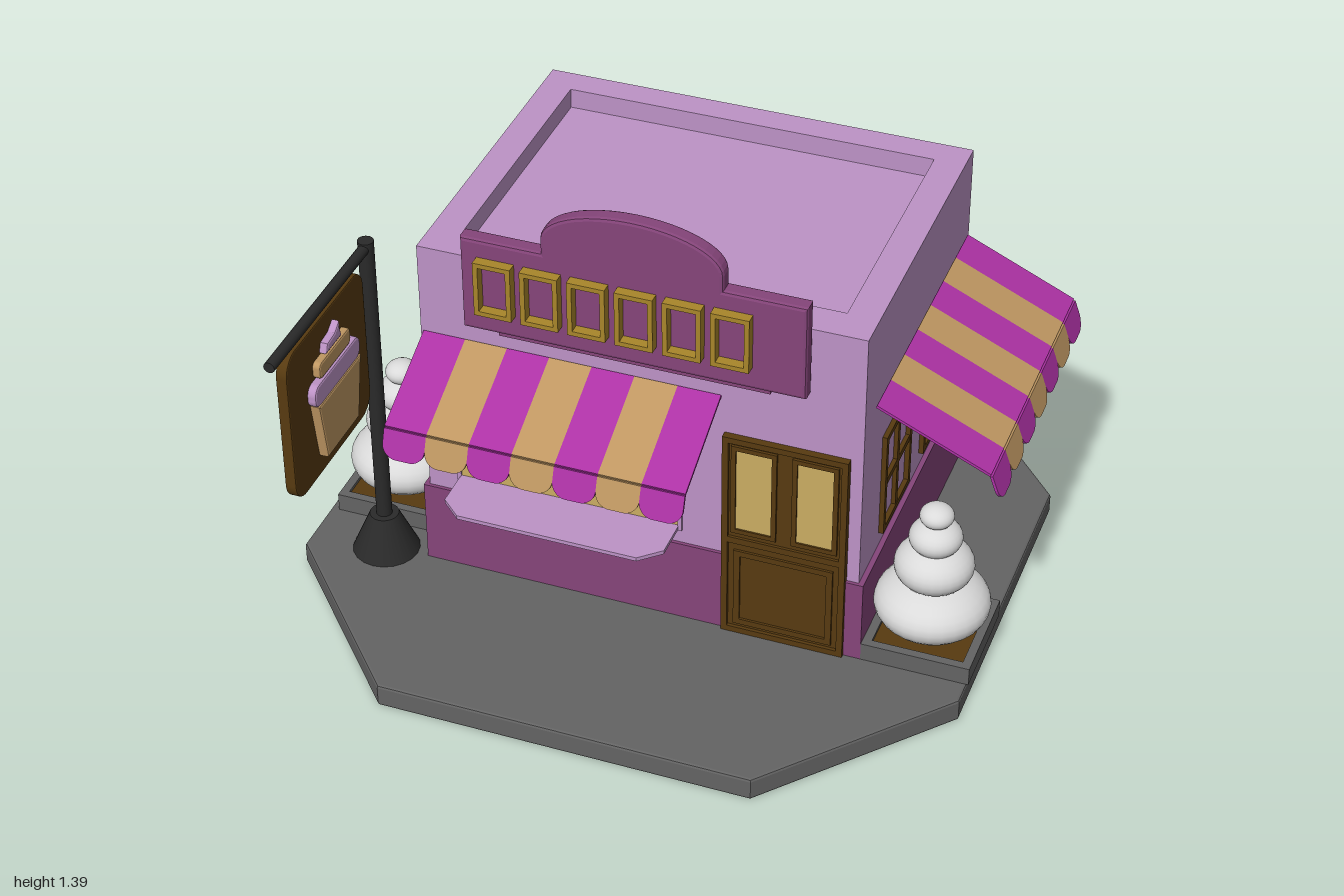
import * as THREE from 'three';

const mat = (name, color, side = THREE.FrontSide) =>
  Object.assign(new THREE.MeshStandardMaterial({ color, side }), { name });

export function createModel() {
  const lilac = mat('lilac', 0xbd93c6), plum = mat('plum', 0x85457a);
  const magenta = mat('magenta', 0xad32a5, THREE.DoubleSide), tan = mat('tan', 0xbf9762, THREE.DoubleSide);
  const brown = mat('brown', 0x573a10), glass = mat('warm glass', 0xcaac62), gold = mat('gold', 0xa8862a);
  const grey = mat('grey', 0x636363), black = mat('black', 0x2a2a2a), white = mat('white', 0xdadada);

  const model = new THREE.Group();
  model.name = 'shop';

  const add = (name, geo, material, parent = model) => {
    const mesh = new THREE.Mesh(geo, material);
    mesh.name = name;
    parent.add(mesh);
    return mesh;
  };
  // Box given by its lower and upper corners
  const box = (name, m, [x0, y0, z0], [x1, y1, z1], parent) =>
    add(name, new THREE.BoxGeometry(x1 - x0, y1 - y0, z1 - z0)
      .translate((x0 + x1) / 2, (y0 + y1) / 2, (z0 + z1) / 2), m, parent);
  const group = (name, x, y, z, turn = 0, parent = model) => {
    const g = new THREE.Group();
    g.name = name;
    g.position.set(x, y, z);
    g.rotation.y = turn;
    parent.add(g);
    return g;
  };
  const poly = pts => new THREE.Shape(pts.map(p => new THREE.Vector2(...p)));
  const rect = (x0, y0, x1, y1) => poly([[x0, y0], [x1, y0], [x1, y1], [x0, y1]]);
  const roundRect = (x0, y0, x1, y1, r) => {
    const s = new THREE.Shape();
    s.absarc(x1 - r, y0 + r, r, -Math.PI / 2, 0);
    s.absarc(x1 - r, y1 - r, r, 0, Math.PI / 2);
    s.absarc(x0 + r, y1 - r, r, Math.PI / 2, Math.PI);
    s.absarc(x0 + r, y0 + r, r, Math.PI, Math.PI * 1.5);
    return s;
  };
  const extrude = (shape, depth, bevel = 0) => new THREE.ExtrudeGeometry(shape, {
    depth: depth - 2 * bevel, bevelEnabled: bevel > 0, bevelSize: bevel,
    bevelThickness: bevel, bevelOffset: -bevel, bevelSegments: 2, curveSegments: 12,
  }).translate(0, 0, bevel);
  // Lay an extrusion flat: shape y becomes -z, depth becomes height
  const flat = (shape, y, h, bevel) => extrude(shape, h, bevel).rotateX(-Math.PI / 2).translate(0, y, 0);
  const frame = (name, m, x0, y0, x1, y1, border, z, depth, parent) => {
    const s = rect(x0, y0, x1, y1);
    s.holes.push(rect(x0 + border, y0 + border, x1 - border, y1 - border));
    return add(name, extrude(s, depth).translate(0, 0, z), m, parent);
  };

  // Octagonal pavement
  add('pavement', flat(poly([[-0.55, -0.95], [0.53, -0.95], [0.96, -0.46], [0.96, 0.5],
    [0.53, 0.985], [-0.55, 0.985], [-1, 0.5], [-1, -0.46]]), 0, 0.07, 0.008), grey);

  // Walls and roof with a sunken middle
  box('plinth', plum, [-0.645, 0.07, -0.605], [0.655, 0.33, 0.39]);
  box('walls', lilac, [-0.63, 0.33, -0.595], [0.64, 1.08, 0.38]);
  const rim = rect(-0.63, -0.38, 0.64, 0.595);
  rim.holes.push(rect(-0.54, -0.28, 0.55, 0.51));
  add('parapet', flat(rim, 1.08, 0.06), lilac);

  // Arched name board with six blank gold panels
  const board = poly([[-0.48, 0.945], [0.49, 0.945], [0.49, 1.235], [0.26, 1.235]]);
  board.lineTo(0.26, 1.28);
  board.absellipse(0.005, 1.28, 0.255, 0.11, 0, Math.PI);
  board.lineTo(-0.25, 1.235);
  board.lineTo(-0.48, 1.235);
  add('nameBoard', extrude(board, 0.05, 0.01).translate(0, 0, 0.38), plum);
  box('nameBoardLedge', plum, [-0.38, 0.933, 0.38], [0.39, 0.946, 0.42]);
  for (let i = 0; i < 6; i++) {
    const x = -0.432 + i * 0.1335;
    frame('boardPanel', gold, x, 1.015, x + 0.107, 1.182, 0.014, 0.425, 0.035);
  }

  // Serving window and counter
  box('shopWindow', glass, [-0.53, 0.385, 0.375], [0.12, 0.78, 0.383]);
  frame('shopWindowFrame', lilac, -0.54, 0.375, 0.13, 0.79, 0.012, 0.38, 0.008);
  add('counter', flat(poly([[-0.53, -0.38], [-0.53, -0.5], [-0.47, -0.555], [0.06, -0.555],
    [0.12, -0.5], [0.12, -0.38]]), 0.378, 0.012), lilac);

  // Door: slab, frame, two panes and a lower panel
  const door = group('door', 0, 0, 0);
  box('doorSlab', brown, [0.25, 0.07, 0.365], [0.605, 0.745, 0.392], door);
  frame('doorFrame', brown, 0.25, 0.07, 0.605, 0.745, 0.018, 0.39, 0.012, door);
  box('doorRail', brown, [0.265, 0.385, 0.39], [0.59, 0.405, 0.4], door);
  frame('doorPanel', brown, 0.285, 0.1, 0.57, 0.36, 0.018, 0.39, 0.009, door);
  for (const x of [0.275, 0.449]) {
    box('doorPane', glass, [x + 0.012, 0.435, 0.39], [x + 0.118, 0.705, 0.395], door);
    frame('doorPaneFrame', brown, x, 0.422, x + 0.13, 0.718, 0.014, 0.39, 0.01, door);
  }

  // Cross-barred side windows
  for (const z of [0.083, -0.298]) {
    const w = group('sideWindow', 0.64, 0, z, Math.PI / 2);
    frame('sideWindowFrame', brown, -0.125, 0.375, 0.125, 0.705, 0.018, 0, 0.014, w);
    box('mullion', brown, [-0.01, 0.38, 0], [0.01, 0.7, 0.012], w);
    box('transom', brown, [-0.12, 0.53, 0], [0.12, 0.55, 0.012], w);
  }

  // Striped awnings: sloping strips ending in round-cornered flaps
  const strip = (name, w, z0, y0, z1, y1, r, m, parent) => {
    const len = Math.hypot(z1 - z0, y1 - y0), s = new THREE.Shape();
    s.moveTo(w / 2, 0);
    s.lineTo(-w / 2, 0);
    s.lineTo(-w / 2, -len + r);
    if (r) s.absarc(-w / 2 + r, -len + r, r, Math.PI, Math.PI * 1.5);
    if (r) s.absarc(w / 2 - r, -len + r, r, -Math.PI / 2, 0);
    else s.lineTo(w / 2, -len);
    const mesh = add(name, extrude(s, 0.008), m, parent);
    mesh.position.set(0, y0, z0);
    mesh.rotation.x = Math.atan2(z0 - z1, y0 - y1);
    return mesh;
  };
  const awning = (name, x, y, z, turn, out, drop) => {
    const g = group(name, x, y, z, turn), w = 0.123;
    for (let i = 0; i < 7; i++) {
      const m = i % 2 ? tan : magenta, dx = (i - 3) * w;
      strip('awningStripe', w, 0, 0, out, -drop, 0, m, g).position.x = dx;
      strip('awningFlap', w, out, -drop, out + 0.028, -drop - 0.08, 0.042, m, g).position.x = dx;
    }
  };
  awning('frontAwning', -0.19, 0.86, 0.38, 0, 0.275, 0.13);
  awning('sideAwning', 0.645, 0.875, -0.125, Math.PI / 2, 0.32, 0.145);

  // Layered round shrubs in square planters
  for (const [x, z] of [[-0.82, 0.13], [0.81, 0.235]]) {
    const g = group('planter', x, 0.07, z);
    const edge = rect(-0.155, -0.155, 0.155, 0.155);
    edge.holes.push(rect(-0.13, -0.13, 0.13, 0.13));
    add('planterBox', flat(edge, 0, 0.055), grey, g);
    box('soil', brown, [-0.135, 0, -0.135], [0.135, 0.045, 0.135], g);
    for (const [y, r, h] of [[0.138, 0.163, 0.092], [0.268, 0.112, 0.075], [0.362, 0.075, 0.052], [0.434, 0.048, 0.034]])
      add('shrubLayer', new THREE.SphereGeometry(1, 28, 16).scale(r, h, r).translate(0, y, 0), white, g);
  }

  // Sign post
  const post = group('signPost', -0.775, 0, 0.39);
  add('postFoot', new THREE.CylinderGeometry(0.042, 0.097, 0.125, 20).translate(0, 0.1325, 0), black, post);
  add('post', new THREE.CylinderGeometry(0.023, 0.023, 1.06, 14).translate(0, 0.6, 0), black, post);
  add('postArm', new THREE.CylinderGeometry(0.016, 0.016, 0.59, 12)
    .rotateX(Math.PI / 2).translate(0, 1.11, 0.295), black, post);

  // Hanging board with a raised cupcake, facing +x
  const sign = group('hangingSign', -0.795, 0, 0.68, Math.PI / 2);
  add('signBoard', extrude(roundRect(-0.235, 0.615, 0.235, 1.085, 0.06), 0.032, 0.004), brown, sign);
  const relief = (name, shape, depth, m) => add(name, extrude(shape, depth, 0.006).translate(0, 0, 0.028), m, sign);
  relief('cupcakeCase', poly([[-0.09, 0.68], [0.105, 0.68], [0.14, 0.865], [-0.12, 0.865]]), 0.032, tan);
  relief('cupcakeIcing', roundRect(-0.13, 0.86, 0.147, 0.928, 0.028), 0.028, lilac);
  relief('cupcakeCream', roundRect(-0.09, 0.932, 0.1, 0.982, 0.015), 0.026, tan);
  relief('cupcakeTip', poly([[-0.045, 0.988], [0.05, 0.988], [0.042, 1.015], [0.04, 1.04], [0.01, 1.02], [-0.035, 1.015]]), 0.026, lilac);

  return model;
}
